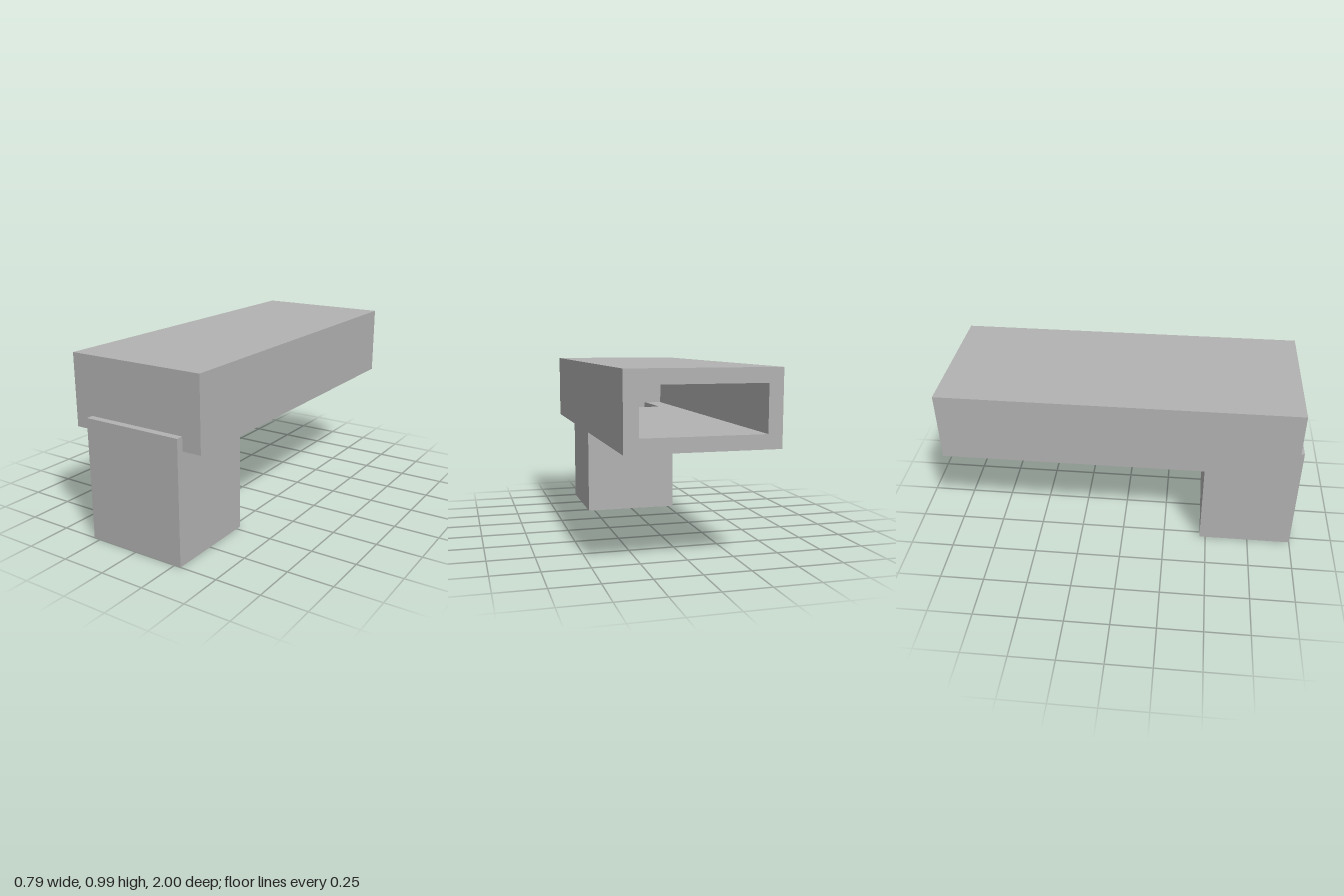
import * as THREE from 'three';

const WALL = 0.075;
const DUCT = { halfW: 0.395, bottom: 0.597, top: 0.992, back: -1, front: 0.96 };
const TUBE = { halfW: 0.288, back: 0.465, front: 1 };
const FLOOR = DUCT.bottom + WALL; // inner floor level, flush with the tube's top rim

// Closed outline from [x, y] pairs
const outline = (points, Type = THREE.Shape) =>
  new Type(points.map(([x, y]) => new THREE.Vector2(x, y)));

const rect = (x0, y0, x1, y1) => [[x0, y0], [x1, y0], [x1, y1], [x0, y1]];

const extrude = (shape, depth) =>
  new THREE.ExtrudeGeometry(shape, { depth, bevelEnabled: false });

// Plan shape (x, -z) raised from y0 to y1
const raise = (shape, y0, y1) =>
  extrude(shape, y1 - y0).rotateX(-Math.PI / 2).translate(0, y0, 0);

export function createModel() {
  const model = new THREE.Group();
  model.name = 'elbowDuct';
  const grey = new THREE.MeshStandardMaterial({ color: 0xb3b3b3 });
  grey.name = 'grey';

  const add = (name, geometry) => {
    const mesh = new THREE.Mesh(geometry, grey);
    mesh.name = name;
    model.add(mesh);
  };

  // Roof and side walls of the long duct: an inverted U, open at the back
  const w = DUCT.halfW, inner = w - WALL, ceiling = DUCT.top - WALL;
  const arch = outline([
    [-w, FLOOR], [-inner, FLOOR], [-inner, ceiling], [inner, ceiling],
    [inner, FLOOR], [w, FLOOR], [w, DUCT.top], [-w, DUCT.top],
  ].reverse());
  add('ductRoofAndSides', extrude(arch, DUCT.front - DUCT.back).translate(0, 0, DUCT.back));

  // Front end wall
  const endWall = outline(rect(-inner, FLOOR, inner, ceiling));
  add('ductEndWall', extrude(endWall, WALL).translate(0, 0, DUCT.front - WALL));

  // Floor with a notch that receives the tube
  const t = TUBE.halfW;
  const floor = outline([
    [-w, -DUCT.front], [-t, -DUCT.front], [-t, -TUBE.back], [t, -TUBE.back],
    [t, -DUCT.front], [w, -DUCT.front], [w, -DUCT.back], [-w, -DUCT.back],
  ]);
  add('ductFloor', raise(floor, DUCT.bottom, FLOOR));

  // Upright tube, open at the bottom and into the duct
  const ring = outline(rect(-t, -TUBE.front, t, -TUBE.back));
  ring.holes.push(outline(
    rect(-t + WALL, -TUBE.front + WALL, t - WALL, -TUBE.back - WALL), THREE.Path));
  add('uprightTube', raise(ring, 0, FLOOR));

  return model;
}
